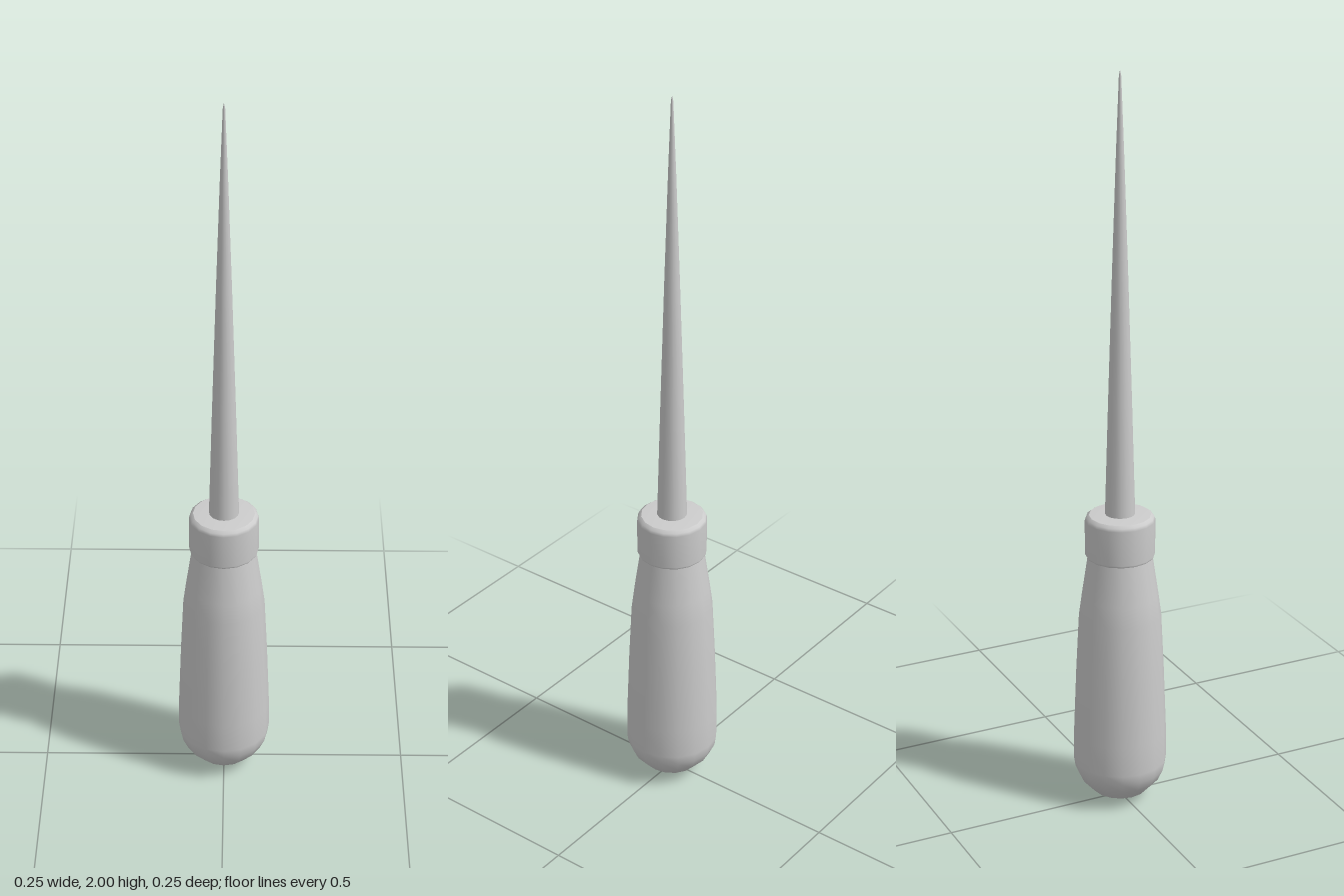
import * as THREE from 'three';

const SIDES = 16;

// Turns a profile of [radius, height] points, listed bottom to top, into a named mesh.
function turned(name, profile) {
  const points = profile.map(([r, y]) => new THREE.Vector2(r, y));
  const material = new THREE.MeshStandardMaterial({ color: 0xcccccc });
  const mesh = new THREE.Mesh(new THREE.LatheGeometry(points, SIDES), material);
  mesh.name = name;
  return mesh;
}

export function createModel() {
  const group = new THREE.Group();
  group.name = 'awl';

  // Swelling grip with a rounded butt
  group.add(turned('handle', [
    [0, 0], [0.045, 0.006], [0.075, 0.022], [0.108, 0.058], [0.122, 0.088], [0.126, 0.115],
    [0.125, 0.2], [0.118, 0.38], [0.11, 0.54], [0.102, 0.6], [0.085, 0.715],
  ]));

  // Collar: underside, wall with softened rims, and top
  const collar = new THREE.Group();
  collar.name = 'collar';
  collar.add(
    turned('collarUnderside', [[0, 0.71], [0.09, 0.71]]),
    turned('collarWall', [[0.09, 0.71], [0.093, 0.716], [0.093, 0.812], [0.09, 0.82], [0.082, 0.826]]),
    turned('collarTop', [[0.082, 0.826], [0.045, 0.829], [0, 0.829]]),
  );
  group.add(collar);

  // Long tapering spike
  group.add(turned('spike', [[0.04, 0.82], [0.031, 1.14], [0.02, 1.5], [0.01, 1.8], [0.003, 1.985], [0, 2]]));

  return group;
}
